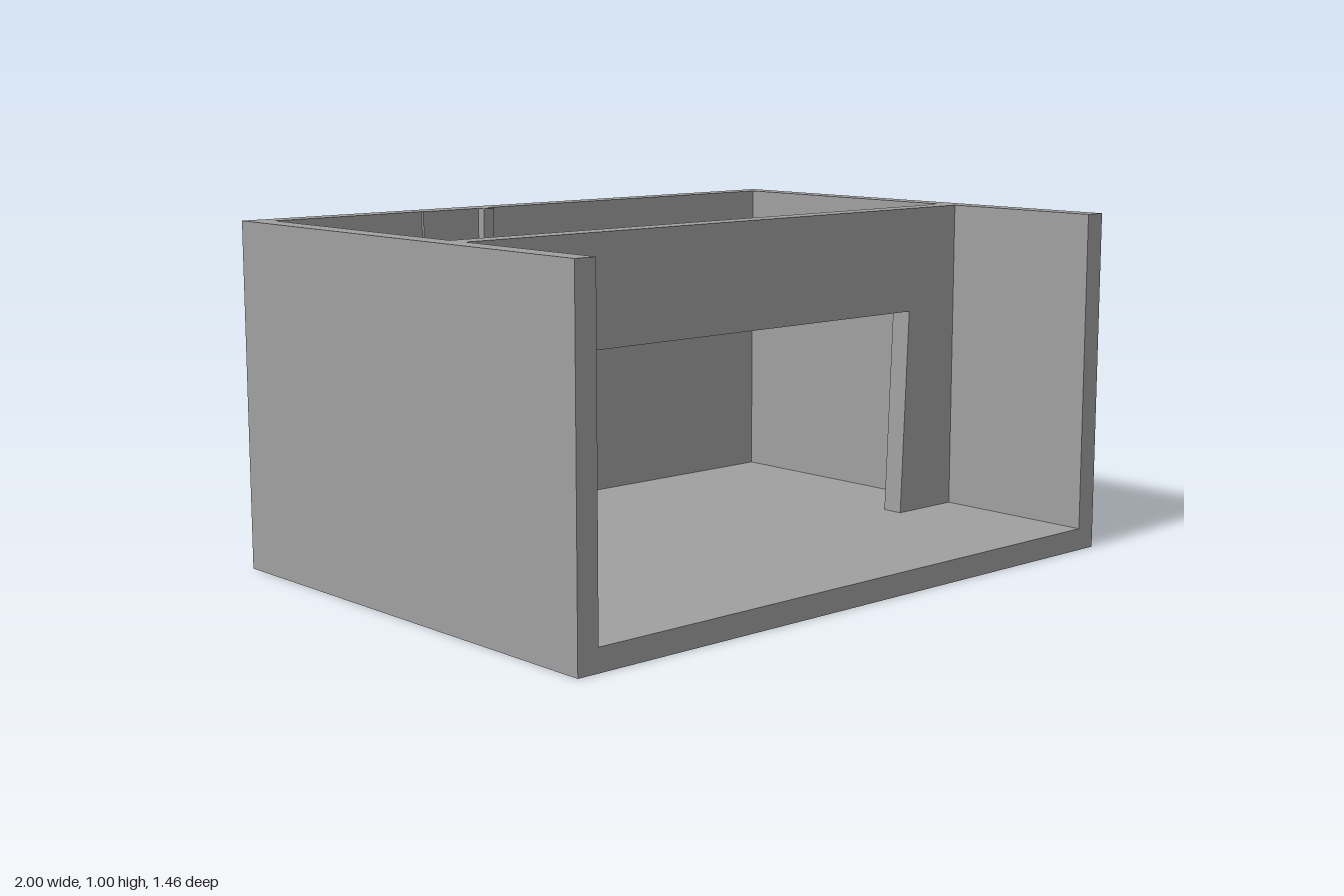
import * as THREE from 'three';

const W = 1, H = 1, D = 0.73, T = 0.065; // half width, height, half depth, wall thickness
const IN = W - T;                        // inner half width
const BACK = -D + T;                     // inner face of the back wall

export function createModel() {
  const group = new THREE.Group();
  const plaster = new THREE.MeshStandardMaterial({ color: 0xa0a0a0 });
  plaster.name = 'grey plaster';

  const add = (name, geometry) => {
    const mesh = new THREE.Mesh(geometry, plaster);
    mesh.name = name;
    group.add(mesh);
  };

  // Box given by its lower and upper limits on each axis
  const box = (name, x0, x1, y0, y1, z0, z1) => add(name,
    new THREE.BoxGeometry(x1 - x0, y1 - y0, z1 - z0)
      .translate((x0 + x1) / 2, (y0 + y1) / 2, (z0 + z1) / 2));

  // Front-facing outline extruded from z0 to z1
  const slab = (name, points, z0, z1) => add(name,
    new THREE.ExtrudeGeometry(
      new THREE.Shape(points.map(([x, y]) => new THREE.Vector2(x, y))),
      { depth: z1 - z0, bevelEnabled: false }).translate(0, 0, z0));

  // Floor and both side walls as one U-shaped section
  slab('floorAndSideWalls', [
    [-W, 0], [W, 0], [W, H], [IN, H], [IN, T], [-IN, T], [-IN, H], [-W, H],
  ], -D, D);

  box('backWall', -IN, IN, T, H, -D, BACK);

  // Partition with a wide opening that narrows slightly towards the floor
  slab('partitionWall', [
    [-IN, T], [-0.71, T], [-0.737, 0.687], [0.732, 0.687], [0.706, T],
    [IN, T], [IN, H], [-IN, H],
  ], 0.16, 0.225);

  // Fittings on the inside of the back wall
  box('post', -0.23, -0.194, T, H, BACK, -0.63);
  box('rail', -IN, -0.23, 0.605, 0.645, BACK, -0.647);
  box('lowerPanel', -0.432, -0.23, 0.655, 0.855, BACK, -0.657);
  box('upperPanel', -0.432, -0.23, 0.863, H, BACK, -0.657);

  return group;
}
